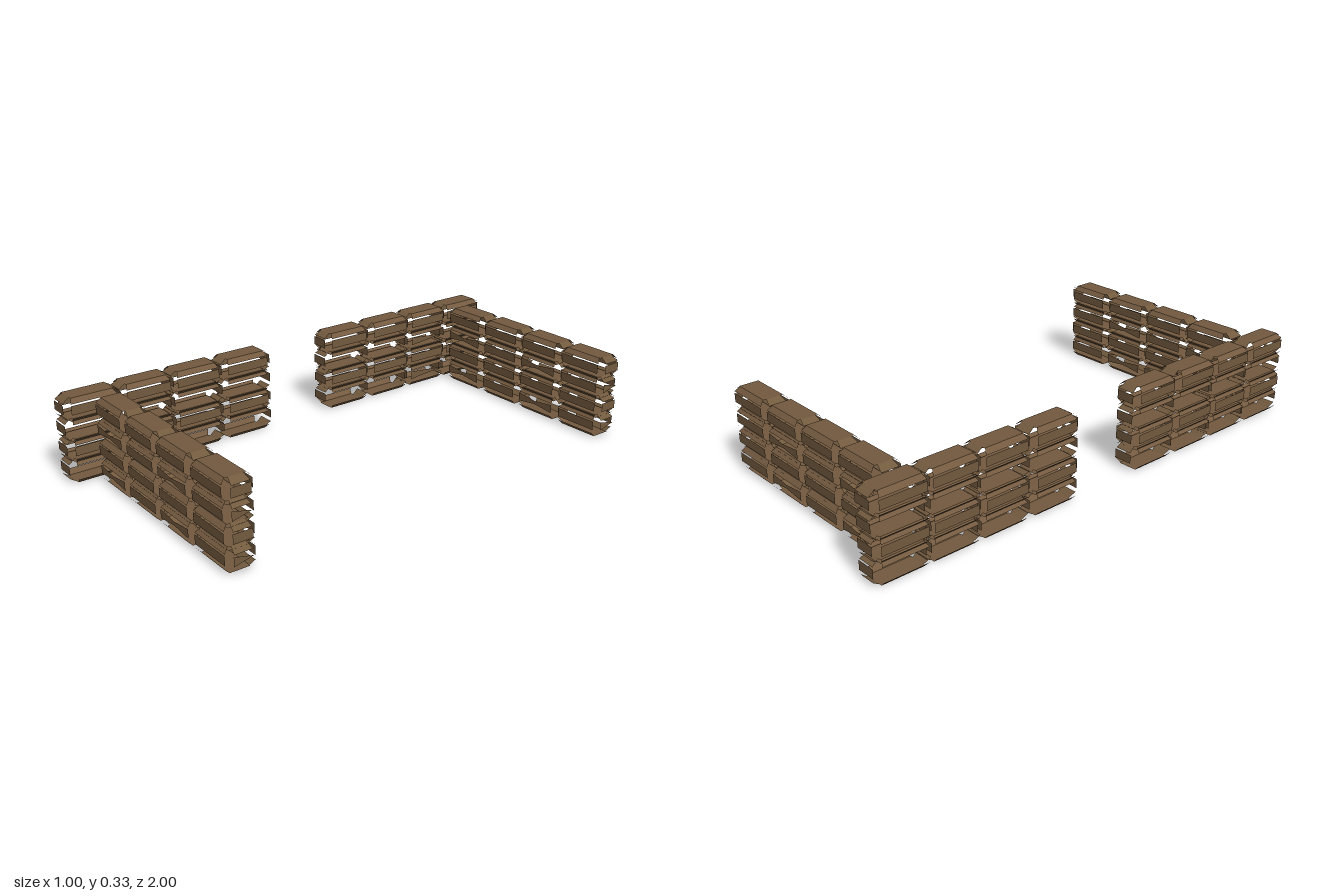
import * as THREE from 'three';

// Side panel outlines: relative height at left, middle and right
const FULL = [1, 1, 1], WAIST = [1, 0.4, 1], WEDGE = [1, 0.5, 0];
const TOP = 0.091;

// Sandbag made of separate flat panels with open seams; its length runs along x.
// sides lists the panel outlines for the +z, +x, -z and -x sides.
function bagGeometry(sides) {
  const pos = [];
  const quad = (a, b, c, d) => [a, b, c, a, c, d].forEach(p => pos.push(...p));

  // top and bottom panels
  const x = 0.084, z = 0.038;
  quad([-x, TOP, z], [x, TOP, z], [x, TOP, -z], [-x, TOP, -z]);
  quad([-x, 0, -z], [x, 0, -z], [x, 0, z], [-x, 0, z]);

  for (let i = 0; i < 4; i++) {
    const a = i * Math.PI / 2, s = Math.sin(a), c = Math.cos(a);
    // right, up, outward as seen from outside this side
    const pt = (r, y, o) => [r * c + o * s, y, -r * s + o * c];
    const end = i % 2 === 1;
    const inner = end ? 0.084 : 0.038, outer = end ? 0.111 : 0.055;
    const hi = end ? 0.028 : 0.08, ho = end ? 0.034 : 0.09;

    // lower and upper sloping panels
    quad(pt(-hi, 0, inner), pt(hi, 0, inner), pt(ho, 0.018, outer), pt(-ho, 0.018, outer));
    quad(pt(-ho, 0.074, outer), pt(ho, 0.074, outer), pt(hi, TOP, inner), pt(-hi, TOP, inner));

    // upright panel, in two halves
    const shape = sides[i];
    if (!shape) continue;
    const w = end ? 0.037 : 0.09, out = end ? 0.112 : 0.056;
    for (let k = 0; k < 2; k++) {
      const r0 = (k - 1) * w, r1 = k * w;
      const h0 = shape[k] * 0.0175, h1 = shape[k + 1] * 0.0175;
      quad(pt(r0, 0.0505 - h0, out), pt(r1, 0.0505 - h1, out),
        pt(r1, 0.0505 + h1, out), pt(r0, 0.0505 + h0, out));
    }
  }
  const g = new THREE.BufferGeometry();
  g.setAttribute('position', new THREE.Float32BufferAttribute(pos, 3));
  g.computeVertexNormals();
  return g;
}

export function createModel() {
  const model = new THREE.Group();
  const burlap = new THREE.MeshStandardMaterial({ color: 0x735a3f, side: THREE.DoubleSide });
  burlap.name = 'brown burlap';

  const bags = {
    full: bagGeometry([FULL, FULL, FULL, FULL]),
    plain: bagGeometry([FULL, WEDGE, FULL, null]),
    waisted: bagGeometry([WAIST, WEDGE, WAIST, null]),
    open: bagGeometry([null, FULL, null, FULL]),
    wedge: bagGeometry([WEDGE, FULL, null, FULL]),
  };

  // Builds four stacked courses; pick chooses the bag for a course and column
  function wall(name, centres, place, pick) {
    const group = new THREE.Group();
    group.name = name;
    for (let row = 0; row < 4; row++) {
      centres.forEach((c, col) => {
        const bag = new THREE.Mesh(bags[pick(row, col)], burlap);
        bag.name = 'sandbag';
        place(bag, c);
        bag.position.y = row * 0.0785;
        group.add(bag);
      });
    }
    model.add(group);
  }

  // Side walls along x
  for (const [name, z] of [['frontWall', 0.845], ['rearWall', -0.845]]) {
    wall(name, [-0.265, -0.047, 0.168, 0.388],
      (bag, x) => bag.position.set(x, 0, z),
      (row, col) => row % 2 ? 'full' : col % 2 ? 'plain' : 'waisted');
  }

  // Two halves of the long wall, with an opening between them
  const along = (bag, z) => {
    bag.position.set(-0.444, 0, z);
    bag.rotation.y = Math.PI / 2;
  };
  wall('longWallFrontHalf', [0.888, 0.672, 0.464, 0.244], along,
    row => row % 2 ? 'full' : 'open');
  wall('longWallRearHalf', [-0.888, -0.686, -0.476, -0.254], along,
    (row, col) => row % 2 ? 'full' : col === 1 ? 'wedge' : 'open');

  return model;
}
